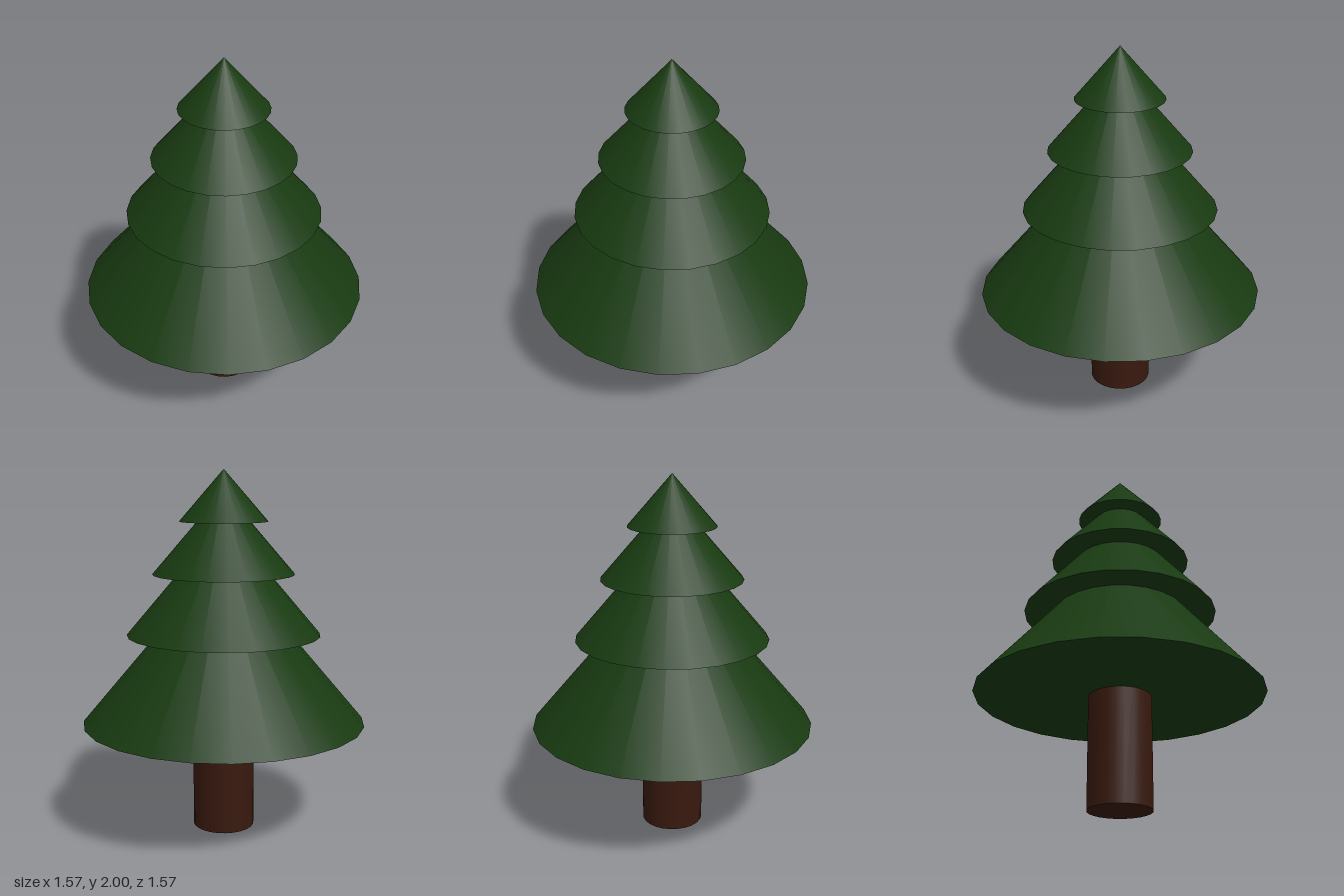
import * as THREE from 'three';

const SIDES = 24;

export function createModel() {
  const tree = new THREE.Group();
  tree.name = 'pineTree';

  const bark = new THREE.MeshStandardMaterial({ color: 0x38190e });
  const needles = new THREE.MeshStandardMaterial({ color: 0x183a11 });

  // Trunk, ending just inside the lowest tier
  const trunkHeight = 0.64;
  const trunk = new THREE.Mesh(new THREE.CylinderGeometry(0.172, 0.172, trunkHeight, SIDES), bark);
  trunk.name = 'trunk';
  trunk.position.y = trunkHeight / 2;
  tree.add(trunk);

  // Overlapping closed cones, lowest first: [radius, base height, tip height]
  const tiers = [
    [0.786, 0.615, 1.54],
    [0.535, 1.105, 1.735],
    [0.39, 1.438, 1.89],
    [0.242, 1.722, 2.0],
  ];
  tiers.forEach(([radius, base, tip], i) => {
    const tier = new THREE.Mesh(new THREE.ConeGeometry(radius, tip - base, SIDES), needles);
    tier.name = `foliageTier${i + 1}`;
    tier.position.y = (base + tip) / 2;
    tree.add(tier);
  });

  return tree;
}
